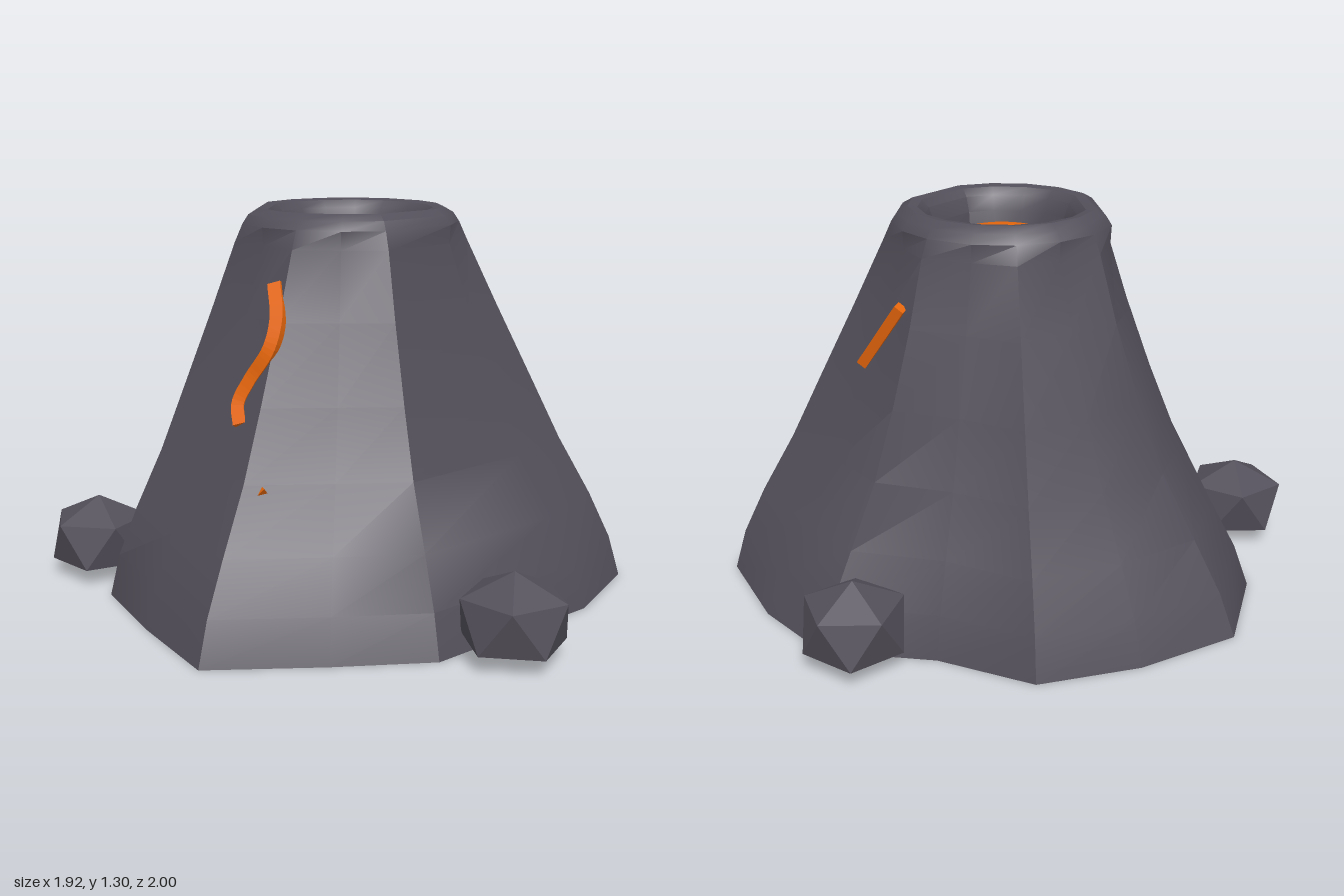
import * as THREE from 'three';
import { toCreasedNormals } from 'three/addons/utils/BufferGeometryUtils.js';

// Foot outline [x, z, hollow]: seven corners with a midpoint between each pair;
// hollow draws that line of the slope inward (+) or outward (-) at mid height
const FOOT = [
  [-0.02, 0.995, 0], [0.32, 0.80, 0.02], [0.60, 0.62, 0.03], [0.86, 0, 0.01], [0.87, -0.37, -0.06],
  [0.62, -0.65, 0.05], [0.355, -0.825, 0.06], [-0.02, -0.775, 0], [-0.355, -0.825, -0.06], [-0.65, -0.64, 0],
  [-0.905, -0.375, 0.06], [-0.905, 0, 0.03], [-0.625, 0.60, -0.05], [-0.345, 0.80, 0],
];
const CX = -0.015;

// One horizontal ring on the slope: t blends from the foot outline to the neck
function slopeRing(y, t) {
  return FOOT.map(([x, z, hollow], i) => {
    const r = i % 2 ? 0.37 : 0.4;
    const d = Math.hypot(x - CX, z);
    const s = t + hollow * 4 * t * (1 - t);
    const k = 1 - s + (s * r) / d;
    return [CX + (x - CX) * k, y, z * k];
  });
}

// One round ring on the rim and crater wall
function roundRing(y, r) {
  return FOOT.map(([x, z]) => {
    const d = Math.hypot(x - CX, z);
    return [CX + ((x - CX) * r) / d, y, (z * r) / d];
  });
}

function mountainGeometry() {
  const slope = [[0, 0], [0.14, 0.09], [0.3, 0.25], [0.5, 0.465], [0.72, 0.65], [0.97, 0.845], [1.19, 1]];
  const rim = [[1.25, 0.373], [1.28, 0.353], [1.3, 0.318], [1.295, 0.285], [1.27, 0.26], [1.22, 0.24], [1.08, 0.225]];
  const rings = [...slope.map(p => slopeRing(...p)), ...rim.map(p => roundRing(...p))];
  const n = FOOT.length;
  const points = rings.flat();
  const index = [];
  for (let j = 0; j < rings.length - 1; j++) {
    for (let i = 0; i < n; i++) {
      const a = j * n + i, b = j * n + (i + 1) % n;
      index.push(a, b, b + n, a, b + n, a + n);
    }
  }
  // Underside and crater floor
  const bottom = points.push([CX, 0, 0]) - 1;
  const floor = points.push([CX, 1.08, 0]) - 1;
  const last = (rings.length - 1) * n;
  for (let i = 0; i < n; i++) {
    const k = (i + 1) % n;
    index.push(bottom, k, i, floor, last + i, last + k);
  }
  const geo = new THREE.BufferGeometry();
  geo.setAttribute('position', new THREE.Float32BufferAttribute(points.flat(), 3));
  geo.setIndex(index);
  return toCreasedNormals(geo, THREE.MathUtils.degToRad(32));
}

// Faceted boulder standing on a flattened base
function boulderGeometry() {
  const geo = new THREE.IcosahedronGeometry(1, 0);
  geo.rotateX(-Math.atan((1 + Math.sqrt(5)) / 2));
  const p = geo.attributes.position;
  for (let i = 0; i < p.count; i++) {
    const y = p.getY(i);
    const h = y > 0 ? (y > 0.9 ? 0.125 : 0.047) : (y < -0.9 ? -0.122 : -0.1);
    p.setXYZ(i, p.getX(i) * 0.185, h, p.getZ(i) * 0.19);
  }
  geo.computeVertexNormals();
  return geo;
}

// Square strand following a path
function strandGeometry(points, width, steps) {
  const w = width / 2;
  const shape = new THREE.Shape([[-w, -w], [w, -w], [w, w], [-w, w]].map(p => new THREE.Vector2(...p)));
  const path = new THREE.CatmullRomCurve3(points.map(p => new THREE.Vector3(...p)));
  return new THREE.ExtrudeGeometry(shape, { steps, extrudePath: path, bevelEnabled: false });
}

export function createModel() {
  const group = new THREE.Group();
  const rock = new THREE.MeshStandardMaterial({ color: 0x534f5a });
  rock.name = 'darkRock';
  const lava = new THREE.MeshStandardMaterial({ color: 0xf26c0d });
  lava.name = 'orangeLava';

  const add = (name, geo, mat, x = 0, y = 0, z = 0, turn = 0) => {
    const mesh = new THREE.Mesh(geo, mat);
    mesh.name = name;
    mesh.position.set(x, y, z);
    mesh.rotation.y = turn;
    group.add(mesh);
    return mesh;
  };

  add('mountain', mountainGeometry(), rock);

  // Domed lava pool in the crater
  const pool = add('lavaPool', new THREE.SphereGeometry(0.25, 28, 16), lava, CX, 1.12, 0);
  pool.scale.y = 0.4;

  // Boulders around the foot
  const boulder = boulderGeometry();
  add('leftBoulder', boulder, rock, 0.79, 0.158, 0.5, Math.PI / 2);
  add('rightBoulder', boulder, rock, -0.795, 0.158, 0.42, -Math.PI / 2);
  add('backBoulder', boulder, rock, 0.23, 0.158, -0.845, 0.3);

  // Lava running down the slopes
  add('frontLavaStream', strandGeometry([
    [-0.06, 1.08, 0.425], [-0.02, 0.98, 0.483], [-0.025, 0.89, 0.522],
    [-0.09, 0.79, 0.53], [-0.125, 0.71, 0.55], [-0.10, 0.65, 0.585],
  ], 0.045, 30), lava);
  add('backLavaStream', strandGeometry([[0.215, 1.03, -0.385], [0.37, 0.81, -0.335]], 0.035, 1), lava);
  add('lavaDrop', new THREE.TetrahedronGeometry(0.028), lava, 0.035, 0.48, 0.695);

  return group;
}
